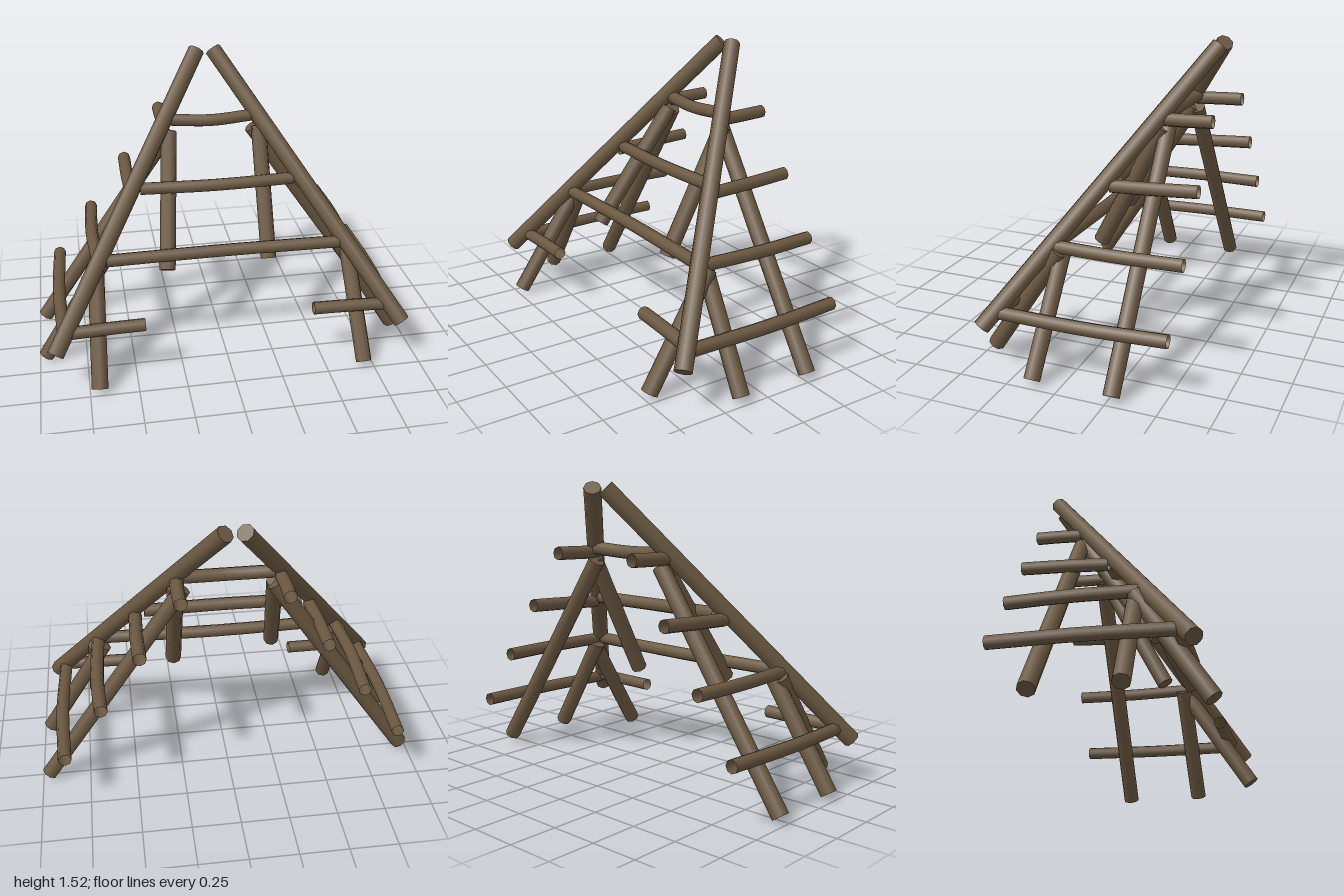
import * as THREE from 'three';

const V = (p) => new THREE.Vector3(...p);

export function createModel() {
  const model = new THREE.Group();
  model.name = 'timberRoofFrame';
  const wood = new THREE.MeshStandardMaterial({ color: 0x6b5842, side: THREE.DoubleSide });
  wood.name = 'brown wood';

  // Straight closed pole between two points
  function pole(name, a, b, r = 0.0425) {
    const from = V(a), dir = V(b).sub(from);
    const mesh = new THREE.Mesh(new THREE.CylinderGeometry(r, r, dir.length(), 8), wood);
    mesh.position.copy(from).addScaledVector(dir, 0.5);
    mesh.quaternion.setFromUnitVectors(new THREE.Vector3(0, 1, 0), dir.normalize());
    mesh.name = name;
    model.add(mesh);
  }

  // Slightly bowed, open-ended batten through the given points
  function batten(name, points, r = 0.034) {
    const curve = new THREE.CatmullRomCurve3(points.map(V));
    const mesh = new THREE.Mesh(new THREE.TubeGeometry(curve, 8, r, 8, false), wood);
    mesh.name = name;
    model.add(mesh);
  }

  for (const s of [1, -1]) {
    const side = s > 0 ? 'left' : 'right';
    // Long corner poles meeting at the peak
    pole(side + 'HipPole', [s * 0.91, 0.225, 0.425], [s * 0.045, 1.497, -0.463], 0.044);
    // Rafters of the side slopes
    pole(side + 'BackRafter', [s * 0.965, 0.032, -0.27], [s * 0.225, 1.115, -0.268]);
    pole(side + 'MiddleRafter', [s * 0.965, 0.032, 0.133], [s * 0.63, 0.57, 0.115]);
    // Outer rafter of the front slope
    pole(side + 'FrontRafter', [s * 0.7, 0.027, 0.472], [s * 0.672, 0.57, 0.12]);
    // Horizontal battens of the side slopes: x, bow, front y, back y, front z
    [
      [0.862, 0.014, 0.29, 0.305, 0.35],
      [0.663, 0.012, 0.588, 0.591, 0.14],
      [0.46, 0.003, 0.855, 0.88, -0.06],
      [0.258, 0.002, 1.157, 1.167, -0.26],
    ].forEach(([x, bow, y0, y1, z], i) => batten(side + 'SideBatten' + (i + 1), [
      [s * (x - 0.003), y0, z],
      [s * (x + bow), (y0 + y1) / 2, (z - 0.505) / 2],
      [s * x, y1, -0.505],
    ]));
    // Short battens beside the front opening
    batten(side + 'ShortFrontBatten', [[s * 0.445, 0.305, 0.343], [s * 0.64, 0.304, 0.347], [s * 0.83, 0.302, 0.355]]);
  }

  // Inner rafters of the front slope
  pole('leftInnerRafter', [0.257, 0.482, 0.08], [0.26, 1.12, -0.25]);
  pole('rightInnerRafter', [-0.302, 0.505, 0.155], [-0.23, 1.12, -0.25]);

  // Full-width battens of the front slope: half width, end y, mid y, end z, mid z
  [
    [0.62, 0.592, 0.59, 0.158, 0.145],
    [0.41, 0.882, 0.88, -0.064, -0.05],
    [0.225, 1.18, 1.17, -0.268, -0.25],
  ].forEach(([x, y0, y1, z0, z1], i) =>
    batten('frontBatten' + (i + 1), [[-x, y0, z0], [0, y1, z1], [x, y0, z0]]));

  return model;
}
